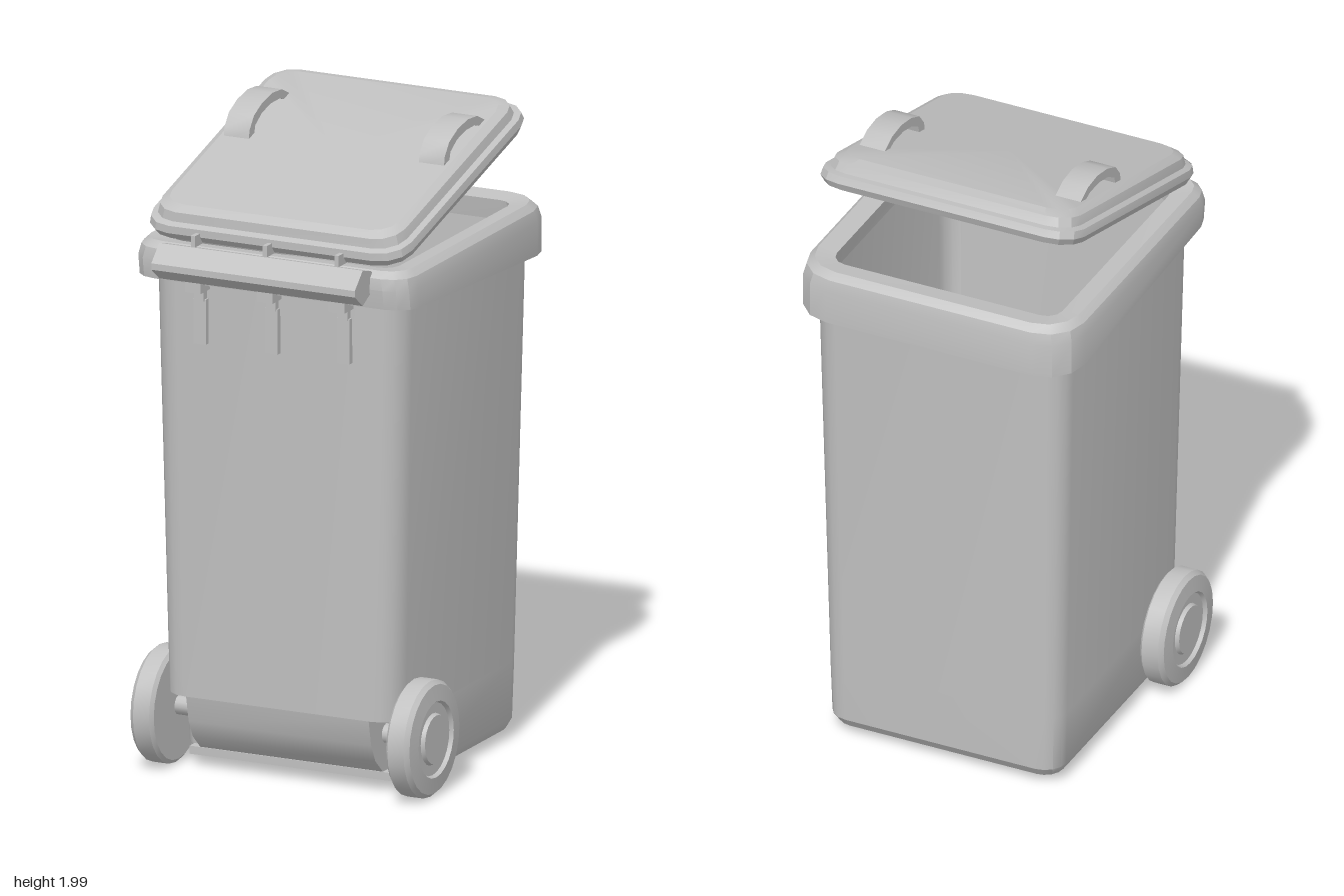
import * as THREE from 'three';
import { toCreasedNormals } from 'three/addons/utils/BufferGeometryUtils.js';

const plastic = new THREE.MeshStandardMaterial({ color: 0xc0c0c0 });
plastic.name = 'grey plastic';

function addMesh(parent, name, geometry, crease = 0.55) {
  const mesh = new THREE.Mesh(toCreasedNormals(geometry, crease), plastic);
  mesh.name = name;
  parent.add(mesh);
  return mesh;
}

// Rounded rectangle in the xz plane; yBack lets the ring slope from front to back.
function ring(halfX, zFront, zBack, rFront, rBack, y, segs, yBack = y) {
  const corners = [
    [1, 1, rFront, 0], [-1, 1, rFront, 1], [-1, -1, rBack, 2], [1, -1, rBack, 3],
  ];
  const points = [];
  for (const [sx, sz, r, quarter] of corners) {
    const cx = sx * (halfX - r);
    const cz = sz > 0 ? zFront - r : zBack + r;
    for (let i = 0; i <= segs; i++) {
      const a = (quarter + i / segs) * Math.PI / 2;
      const z = cz + r * Math.sin(a);
      const t = (zFront - z) / (zFront - zBack);
      points.push(new THREE.Vector3(cx + r * Math.cos(a), y + (yBack - y) * t, z));
    }
  }
  return points;
}

// Skin over a list of rings, with optional end caps.
function loft(rings, caps) {
  const n = rings[0].length;
  const vertices = rings.flat();
  const index = [];
  for (let i = 0; i < rings.length - 1; i++) {
    for (let j = 0; j < n; j++) {
      const k = (j + 1) % n;
      const a = i * n + j, b = i * n + k, c = a + n, d = b + n;
      index.push(a, c, b, b, c, d);
    }
  }
  if (caps) {
    for (const last of [false, true]) {
      const start = last ? (rings.length - 1) * n : 0;
      const loop = last ? rings[rings.length - 1] : rings[0];
      const centre = new THREE.Vector3();
      loop.forEach((p) => centre.addScaledVector(p, 1 / n));
      const c = vertices.push(centre) - 1;
      for (let j = 0; j < n; j++) {
        const a = start + j, b = start + (j + 1) % n;
        if (last) index.push(c, b, a);
        else index.push(c, a, b);
      }
    }
  }
  const geometry = new THREE.BufferGeometry().setFromPoints(vertices);
  geometry.setIndex(index);
  geometry.computeVertexNormals();
  return geometry;
}

// Side profile of [z, y] points, extruded across x and centred on x = 0.
function sideExtrude(profile, width) {
  const shape = new THREE.Shape(profile.map(([z, y]) => new THREE.Vector2(z, y)));
  const geometry = new THREE.ExtrudeGeometry(shape, { depth: width, bevelEnabled: false });
  return geometry.rotateY(-Math.PI / 2).translate(width / 2, 0, 0);
}

function box(w, h, d, x, y, z) {
  return new THREE.BoxGeometry(w, h, d).translate(x, y, z);
}

export function createModel() {
  const bin = new THREE.Group();
  bin.name = 'wheeledBin';

  // Tapered hollow container, cut back at the lower front for the axle
  const s = 4;
  addMesh(bin, 'body', loft([
    ring(0.33, 0.20, -0.41, 0.04, 0.05, 0.045, s),
    ring(0.335, 0.205, -0.415, 0.04, 0.05, 0.03, s),
    ring(0.37, 0.24, -0.45, 0.05, 0.06, 0.03, s),
    ring(0.385, 0.24, -0.47, 0.05, 0.07, 0.06, s),
    ring(0.39, 0.24, -0.474, 0.05, 0.07, 0.24, s),
    ring(0.39, 0.385, -0.474, 0.08, 0.07, 0.245, s),
    ring(0.42, 0.41, -0.50, 0.09, 0.08, 1.60, s),
    ring(0.385, 0.375, -0.465, 0.07, 0.06, 1.60, s),
    ring(0.365, 0.35, -0.445, 0.06, 0.05, 0.28, s),
    ring(0.355, 0.21, -0.44, 0.05, 0.05, 0.07, s),
  ], true));

  // Overhanging collar with a skirt that deepens toward the back
  addMesh(bin, 'rim', loft([
    ring(0.41, 0.40, -0.49, 0.09, 0.08, 1.55, 3, 1.50),
    ring(0.463, 0.44, -0.55, 0.08, 0.12, 1.55, 3, 1.50),
    ring(0.463, 0.45, -0.55, 0.08, 0.12, 1.61, 3),
    ring(0.455, 0.445, -0.542, 0.08, 0.12, 1.645, 3),
    ring(0.435, 0.425, -0.52, 0.07, 0.11, 1.665, 3),
    ring(0.375, 0.365, -0.455, 0.05, 0.05, 1.655, 3),
    ring(0.385, 0.375, -0.465, 0.06, 0.06, 1.59, 3),
  ], false), 0.4);

  // Curved cover in front of the axle, bottom lip and axle
  addMesh(bin, 'axleCover', sideExtrude([
    [0.2, 0.065], [0.29, 0.065], [0.34, 0.11], [0.368, 0.165], [0.385, 0.245], [0.2, 0.245],
  ], 0.61));
  addMesh(bin, 'bottomLip', box(0.70, 0.025, 0.06, 0, 0.045, 0.24));
  addMesh(bin, 'axle', new THREE.CylinderGeometry(0.03, 0.03, 0.80, 12)
    .rotateZ(Math.PI / 2).translate(0, 0.18, 0.267));

  // Wheels with a recessed ring around the hub
  const wheelProfile = [
    [0, -0.042], [0.168, -0.042], [0.18, -0.032], [0.18, 0.022], [0.168, 0.036], [0.118, 0.042],
    [0.112, 0.03], [0.08, 0.03], [0.075, 0.042], [0, 0.042],
  ].map(([r, h]) => new THREE.Vector2(r, h));
  for (const side of [1, -1]) {
    addMesh(bin, side > 0 ? 'leftWheel' : 'rightWheel',
      new THREE.LatheGeometry(wheelProfile, 24)
        .rotateZ(-side * Math.PI / 2).translate(side * 0.43, 0.18, 0.267), 0.4);
  }

  // Handle bar along the hinge edge
  addMesh(bin, 'hingeBar', sideExtrude([
    [0.42, 1.60], [0.455, 1.59], [0.495, 1.57], [0.548, 1.61],
    [0.548, 1.63], [0.495, 1.68], [0.44, 1.665], [0.42, 1.65],
  ], 0.68));

  // Ribs below the bar and hinge pins above it
  for (const x of [-0.24, 0, 0.24]) {
    const rib = new THREE.Group();
    rib.name = 'hingeRib';
    addMesh(rib, 'ribHead', box(0.052, 0.05, 0.07, x, 1.555, 0.435));
    addMesh(rib, 'ribNeck', box(0.032, 0.04, 0.04, x, 1.515, 0.41));
    addMesh(rib, 'ribStem', box(0.042, 0.14, 0.04, x, 1.43, 0.405));
    addMesh(rib, 'hingePin', box(0.014, 0.035, 0.06, x, 1.69, 0.44));
    bin.add(rib);
  }

  // Hollow stepped lid, hinged at the front edge and propped open
  const lid = new THREE.Group();
  lid.name = 'lid';
  lid.position.set(0, 1.675, 0.425);
  lid.rotation.x = 0.267;
  bin.add(lid);
  addMesh(lid, 'lidShell', loft([
    ring(0.36, -0.07, -0.86, 0.06, 0.06, 0.065, 3),
    ring(0.385, -0.045, -0.885, 0.07, 0.07, 0.04, 3),
    ring(0.40, -0.03, -0.90, 0.08, 0.08, 0, 3),
    ring(0.425, -0.005, -0.915, 0.09, 0.09, 0, 3),
    ring(0.434, 0.005, -0.93, 0.09, 0.09, 0.022, 3),
    ring(0.43, 0, -0.925, 0.09, 0.09, 0.045, 3),
    ring(0.412, -0.02, -0.905, 0.08, 0.08, 0.05, 3),
    ring(0.405, -0.028, -0.898, 0.08, 0.08, 0.078, 3),
    ring(0.38, -0.055, -0.865, 0.07, 0.07, 0.092, 3),
  ], true), 0.4);

  // Arched grips on the lid
  const grip = [
    [-0.455, 0.08], [-0.47, 0.115], [-0.51, 0.145], [-0.57, 0.155], [-0.64, 0.15], [-0.70, 0.128],
    [-0.755, 0.08], [-0.72, 0.08], [-0.68, 0.108], [-0.62, 0.124], [-0.56, 0.126], [-0.51, 0.112],
    [-0.49, 0.08],
  ].reverse();
  for (const side of [1, -1]) {
    addMesh(lid, side > 0 ? 'leftGrip' : 'rightGrip',
      sideExtrude(grip, 0.084).translate(side * 0.326, 0, 0));
  }
  return bin;
}
